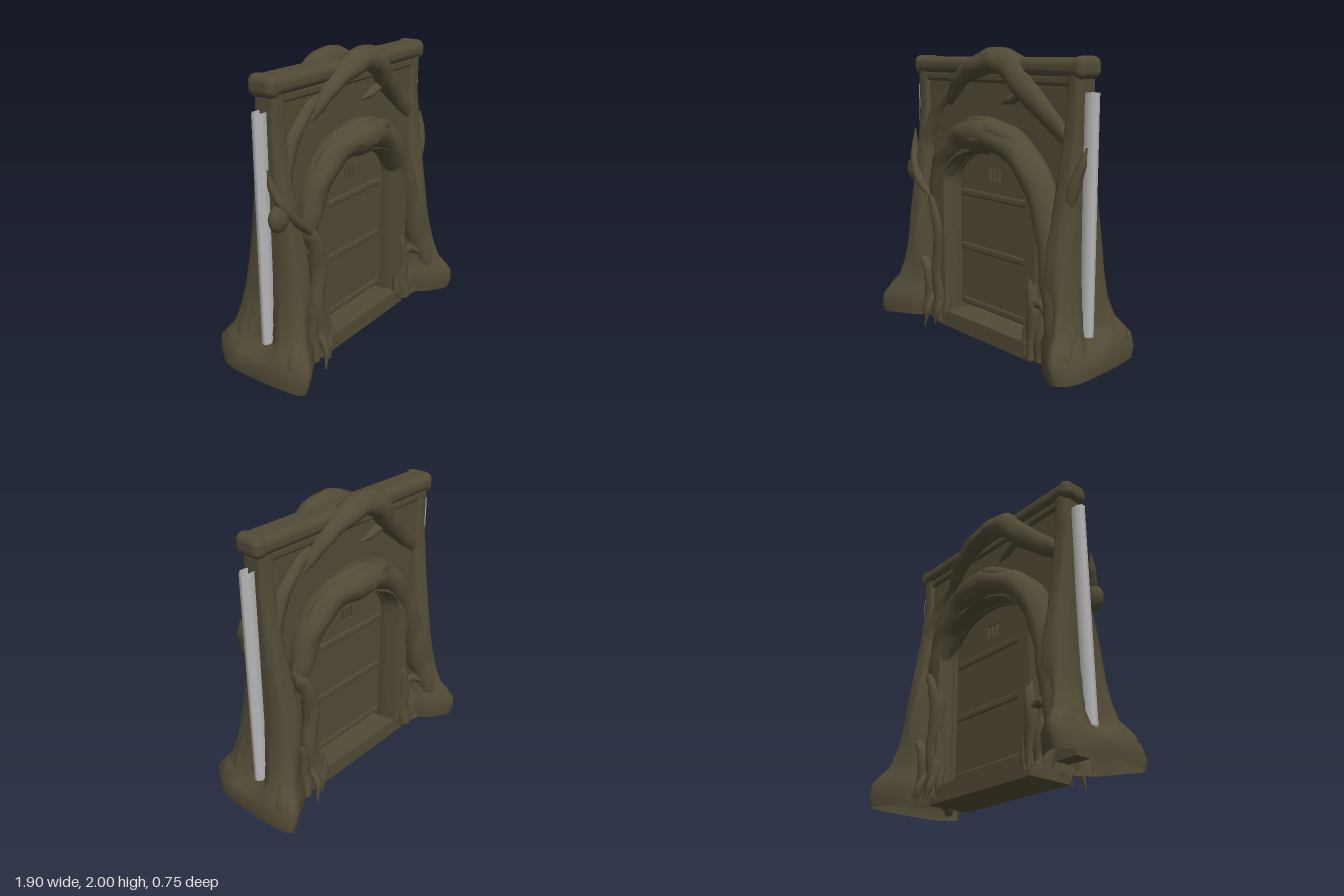
import * as THREE from 'three';
import { mergeVertices } from 'three/addons/utils/BufferGeometryUtils.js';
import { RoundedBoxGeometry } from 'three/addons/geometries/RoundedBoxGeometry.js';

const bark = new THREE.MeshStandardMaterial({ color: 0x514a35, side: THREE.DoubleSide });
bark.name = 'bark';
const steel = new THREE.MeshStandardMaterial({ color: 0xb8b8b8, side: THREE.DoubleSide });
steel.name = 'steel';

function part(parent, name, geometry, material = bark, x = 0, y = 0, z = 0) {
  const mesh = new THREE.Mesh(geometry, material);
  mesh.name = name;
  mesh.position.set(x, y, z);
  parent.add(mesh);
  return mesh;
}

// Joins seams and smooths the normals
function smooth(geometry) {
  geometry.deleteAttribute('uv');
  geometry.deleteAttribute('normal');
  const merged = mergeVertices(geometry, 1e-5);
  merged.computeVertexNormals();
  return merged;
}

// Gnarled limb; each stop is [x, y, z, radius]
function limb(stops) {
  const curve = new THREE.CatmullRomCurve3(stops.map(s => new THREE.Vector3(s[0], s[1], s[2])));
  const n = stops.length * 8, sides = 14;
  const g = new THREE.TubeGeometry(curve, n, 1, sides, false);
  const pos = g.attributes.position, v = new THREE.Vector3();
  for (let i = 0; i <= n; i++) {
    const center = curve.getPointAt(i / n);
    const t = curve.getUtoTmapping(i / n) * (stops.length - 1);
    const k = Math.min(Math.floor(t), stops.length - 2);
    const f = THREE.MathUtils.smoothstep(t - k, 0, 1);
    const r = THREE.MathUtils.lerp(stops[k][3], stops[k + 1][3], f);
    for (let j = 0; j <= sides; j++) {
      const a = (j / sides) * Math.PI * 2, id = i * (sides + 1) + j;
      const ridge = 1 + 0.07 * Math.sin(3 * a + 6 * i / n) + 0.04 * Math.sin(t * 5 + 2 * a);
      v.fromBufferAttribute(pos, id).sub(center).multiplyScalar(r * ridge).add(center);
      pos.setXYZ(id, v.x, v.y, v.z);
    }
  }
  return smooth(g);
}

// Trunk rows: [y, inner x, outer x, half depth]
const TRUNK = [
  [0.05, 0.58, 0.94, 0.41], [0.12, 0.57, 0.945, 0.43], [0.2, 0.57, 0.925, 0.425], [0.26, 0.58, 0.89, 0.375],
  [0.32, 0.58, 0.855, 0.32], [0.45, 0.59, 0.82, 0.27], [0.6, 0.595, 0.795, 0.235], [0.8, 0.6, 0.78, 0.205],
  [1.0, 0.61, 0.775, 0.165], [1.3, 0.63, 0.775, 0.115], [1.6, 0.65, 0.775, 0.08], [1.86, 0.66, 0.77, 0.085],
];

// Hollow trunk, open at the foot
function trunkGeometry(side) {
  const N = 48, verts = [], index = [];
  const pow = c => Math.sign(c) * Math.pow(Math.abs(c), 0.6);
  TRUNK.forEach(([y, xi, xo, d]) => {
    const taper = 0.25 * (1 - THREE.MathUtils.smoothstep(y, 0.25, 0.7)); // foot narrows toward the door
    for (let j = 0; j < N; j++) {
      const a = (j / N) * Math.PI * 2, c = pow(Math.cos(a));
      const w = 1 + 0.03 * Math.sin(5 * a + 7 * y);
      const z = pow(Math.sin(a)) * d * w * (1 - taper * (1 - c));
      let x = (xi + xo) / 2 + c * (xo - xi) / 2 * w;
      if (y > 0.25 && Math.abs(z) < 0.06) x = Math.min(x, 0.77); // groove for the rail
      verts.push(side * x, y, side * z);
    }
  });
  for (let i = 0; i < TRUNK.length - 1; i++) {
    for (let j = 0; j < N; j++) {
      const a = i * N + j, b = i * N + (j + 1) % N;
      index.push(a, a + N, b, b, a + N, b + N);
    }
  }
  const g = new THREE.BufferGeometry();
  g.setAttribute('position', new THREE.Float32BufferAttribute(verts, 3));
  g.setIndex(index);
  g.computeVertexNormals();
  return g;
}

// Arched outline: straight sides with an elliptical head
function archPoints(l, r, bottom, spring, top) {
  const pts = [new THREE.Vector2(r, bottom)];
  for (let i = 0; i <= 28; i++) {
    const a = (i / 28) * Math.PI;
    pts.push(new THREE.Vector2((l + r) / 2 + Math.cos(a) * (r - l) / 2, spring + Math.sin(a) * (top - spring)));
  }
  pts.push(new THREE.Vector2(l, bottom));
  return pts;
}

function slab(shape, depth, steps = 1) {
  return new THREE.ExtrudeGeometry(shape, { depth, steps, bevelEnabled: false }).translate(0, 0, -depth / 2);
}

// Jambs and arch that widen from the door toward both faces
function revealGeometry() {
  const ring = new THREE.Shape([
    ...archPoints(-0.45, 0.47, 0.08, 1.08, 1.4), ...archPoints(-0.36, 0.39, 0.08, 1.06, 1.31).reverse()]);
  const g = slab(ring, 0.32, 4), pos = g.attributes.position;
  for (let i = 0; i < pos.count; i++) {
    const k = Math.abs(pos.getZ(i)) / 0.16;
    pos.setX(i, pos.getX(i) * (1 + 0.08 * k * k));
    pos.setY(i, pos.getY(i) * (1 + 0.015 * k * k));
  }
  g.computeVertexNormals();
  return g;
}

// One face of the gate; the other face is the same turned half round
function createFace() {
  const face = new THREE.Group();
  // Woven arch over the door
  part(face, 'archCanopy', limb([
    [-0.5, 0.8, 0.08, 0.06], [-0.49, 1.05, 0.09, 0.085], [-0.4, 1.25, 0.09, 0.1], [-0.22, 1.395, 0.1, 0.105],
    [0, 1.435, 0.13, 0.118], [0.2, 1.395, 0.1, 0.108], [0.38, 1.27, 0.09, 0.105], [0.52, 1.06, 0.09, 0.1],
    [0.61, 0.82, 0.11, 0.095], [0.68, 0.55, 0.13, 0.1], [0.76, 0.3, 0.17, 0.1], [0.83, 0.13, 0.2, 0.07]]));
  part(face, 'archRidge', limb([
    [-0.57, 1.0, 0.1, 0.02], [-0.49, 1.22, 0.12, 0.03], [-0.33, 1.4, 0.13, 0.04], [-0.12, 1.44, 0.19, 0.045],
    [0.02, 1.42, 0.2, 0.045], [0.12, 1.48, 0.18, 0.045], [0.3, 1.4, 0.13, 0.04], [0.47, 1.19, 0.13, 0.035], [0.6, 0.95, 0.14, 0.02]]));
  part(face, 'archKnot', limb([
    [-0.24, 1.47, 0.08, 0.03], [-0.1, 1.5, 0.13, 0.05], [0.05, 1.505, 0.14, 0.05], [0.2, 1.47, 0.09, 0.03]]));
  // Branch coiling over the beam
  part(face, 'coilingBranch', limb([
    [-0.43, 1.62, 0.06, 0.025], [-0.35, 1.71, 0.08, 0.045], [-0.24, 1.81, 0.095, 0.06], [-0.06, 1.885, 0.09, 0.078],
    [0.08, 1.912, 0.085, 0.082], [0.21, 1.87, 0.085, 0.085], [0.34, 1.73, 0.065, 0.078], [0.54, 1.56, 0.03, 0.068], [0.72, 1.4, 0.045, 0.045]]));
  part(face, 'leftBrace', limb([
    [-0.3, 1.76, 0.04, 0.025], [-0.45, 1.68, 0.04, 0.05], [-0.58, 1.54, 0.04, 0.06], [-0.67, 1.36, 0.06, 0.05], [-0.7, 1.1, 0.09, 0.04]]));
  part(face, 'sideTwig', limb([
    [0.1, 1.64, 0.05, 0.012], [0.2, 1.67, 0.06, 0.03], [0.3, 1.71, 0.06, 0.035], [0.46, 1.71, 0.05, 0.02]]));
  // Root strands beside the door
  const strands = [
    [[-0.6, 1.02, 0.11, 0.02], [-0.53, 0.92, 0.13, 0.05], [-0.47, 0.78, 0.13, 0.06], [-0.46, 0.6, 0.13, 0.055],
      [-0.49, 0.42, 0.13, 0.055], [-0.46, 0.22, 0.13, 0.065], [-0.47, 0.06, 0.15, 0.06]],
    [[-0.68, 0.52, 0.15, 0.03], [-0.59, 0.42, 0.16, 0.035], [-0.56, 0.25, 0.15, 0.045], [-0.59, 0.07, 0.16, 0.06]],
    [[0.44, 0.65, 0.11, 0.015], [0.48, 0.5, 0.15, 0.035], [0.5, 0.35, 0.15, 0.045], [0.49, 0.18, 0.14, 0.055], [0.51, 0.06, 0.16, 0.05]],
    [[0.66, 0.38, 0.18, 0.03], [0.57, 0.43, 0.16, 0.03], [0.5, 0.42, 0.15, 0.03]],
    [[0.59, 0.8, 0.06, 0.02], [0.55, 0.7, 0.08, 0.035], [0.57, 0.55, 0.08, 0.03], [0.55, 0.4, 0.09, 0.04], [0.58, 0.2, 0.13, 0.07], [0.59, 0.06, 0.16, 0.06]],
  ];
  strands.forEach((s, i) => part(face, 'rootStrand' + (i + 1), limb(s)));
  // Thin root tips
  [[-0.53, 0.24, 0], [-0.45, 0.21, 0.03], [-0.39, 0.18, 0.05], [0.5, 0.19, 0.05], [0.44, 0.17, 0.06]].forEach(([x, z, y], i) =>
    part(face, 'rootTip' + (i + 1), limb([[x * 0.97, 0.26, 0.14, 0.02], [x * 0.96, 0.14, z - 0.02, 0.025], [x, y, z, 0.006]])));
  // Spreading feet
  for (const s of [-1, 1]) {
    part(face, s > 0 ? 'leftFoot' : 'rightFoot', limb([
      [s * 0.72, 0.6, 0.15, 0.06], [s * 0.76, 0.35, 0.18, 0.07], [s * 0.83, 0.2, 0.25, 0.075], [s * 0.88, 0.09, 0.31, 0.025]]));
  }
  return face;
}

export function createModel() {
  const model = new THREE.Group();
  model.name = 'rootGate';

  // Wall with an arched opening
  const wall = new THREE.Shape([
    new THREE.Vector2(0.74, 0.1), new THREE.Vector2(0.74, 1.88), new THREE.Vector2(-0.74, 1.88), new THREE.Vector2(-0.74, 0.1),
    ...archPoints(-0.36, 0.39, 0.1, 1.06, 1.31).reverse()]);
  part(model, 'wall', slab(wall, 0.11));
  part(model, 'doorReveal', revealGeometry());

  // Door with a barred window
  const door = new THREE.Shape(archPoints(-0.362, 0.38, 0.18, 1.06, 1.315));
  for (const x of [-0.042, 0, 0.042]) {
    door.holes.push(new THREE.Path([
      new THREE.Vector2(x - 0.015, 1.11), new THREE.Vector2(x - 0.013, 1.2),
      new THREE.Vector2(x + 0.013, 1.2), new THREE.Vector2(x + 0.015, 1.11)]));
  }
  part(model, 'door', slab(door, 0.05));
  for (const y of [0.205, 0.61, 1.0]) {
    part(model, 'doorBand', new RoundedBoxGeometry(0.735, 0.06, 0.065, 3, 0.02), bark, 0.009, y, 0);
  }
  part(model, 'threshold', new THREE.BoxGeometry(0.96, 0.115, 0.32), bark, 0, 0.078, 0);

  // Top beam with swollen ends
  part(model, 'topBeam', new RoundedBoxGeometry(1.58, 0.115, 0.2, 4, 0.05), bark, 0, 1.875, 0);
  part(model, 'beamLedge', new RoundedBoxGeometry(1.4, 0.07, 0.15, 3, 0.025), bark, 0, 1.8, 0);

  for (const s of [-1, 1]) {
    const side = s > 0 ? 'left' : 'right';
    part(model, side + 'BeamEnd', new RoundedBoxGeometry(0.1, 0.135, 0.2, 4, 0.05), bark, s * 0.755, 1.875, 0);
    part(model, side + 'Trunk', trunkGeometry(s));
    // Open steel rail set in the groove
    const rail = new THREE.CylinderGeometry(0.054, 0.054, 1.48, 8, 1, true, Math.PI / 8);
    part(model, side + 'Rail', rail, steel, s * 0.8, 0.995, 0).scale.z = 0.66;
  }

  const front = createFace(), back = createFace();
  front.name = 'frontRoots';
  back.name = 'backRoots';
  back.rotation.y = Math.PI;
  model.add(front, back);

  // Burl and antler-like twigs
  const burl = part(model, 'burl', new THREE.SphereGeometry(0.08, 20, 14), bark, -0.785, 1.115, 0.11);
  burl.scale.set(1, 1.1, 0.6);
  part(model, 'rightTwig', limb([
    [-0.56, 0.96, 0.15, 0.025], [-0.66, 1.05, 0.16, 0.03], [-0.76, 1.18, 0.13, 0.035], [-0.81, 1.29, 0.09, 0.025], [-0.825, 1.41, 0.07, 0.006]]));
  part(model, 'leftTwig', limb([
    [0.72, 1.05, 0.1, 0.04], [0.76, 1.18, 0.1, 0.04], [0.8, 1.3, 0.08, 0.03], [0.825, 1.42, 0.06, 0.006]]));
  return model;
}
